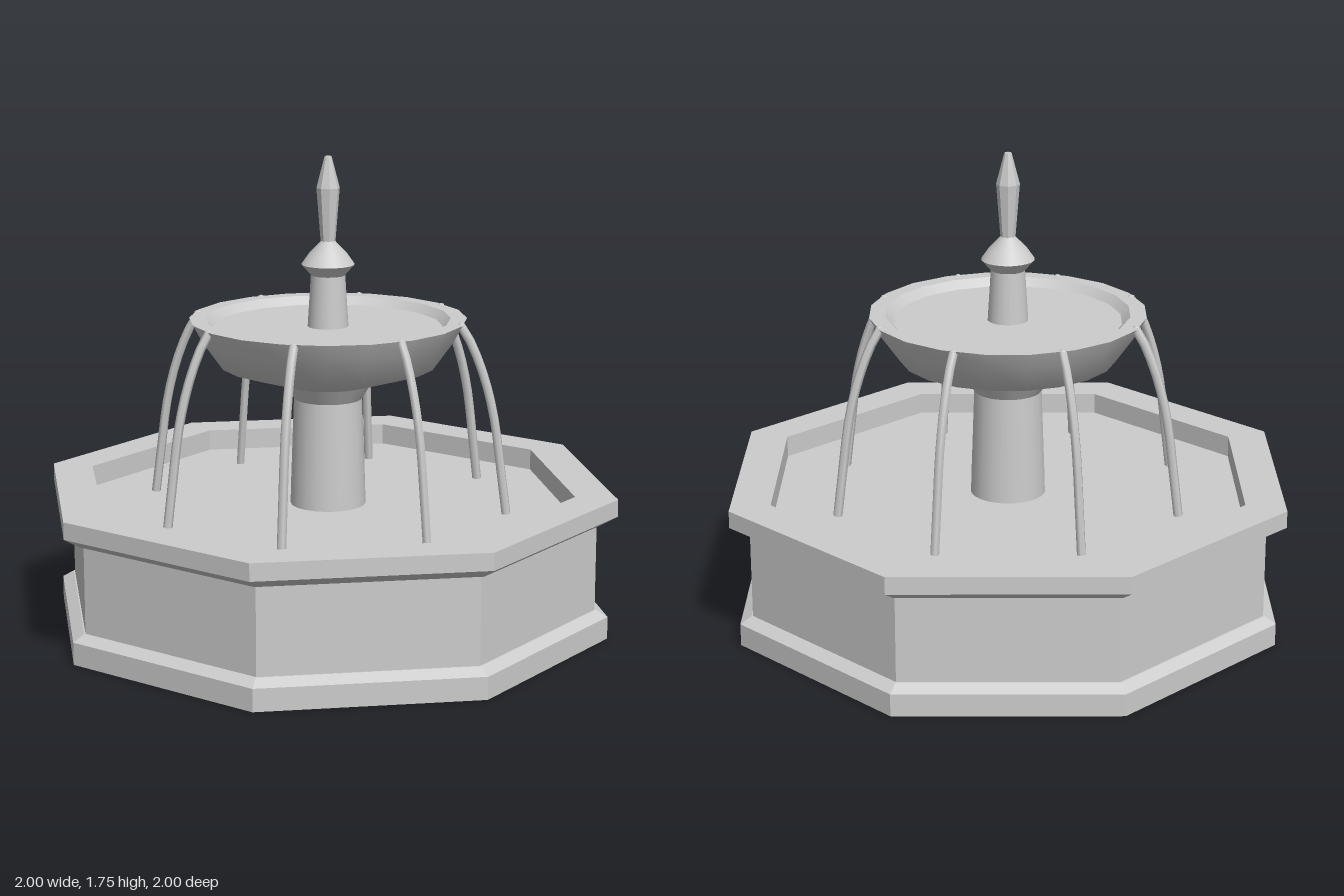
import * as THREE from 'three';

export function createModel() {
  const fountain = new THREE.Group();
  fountain.name = 'fountain';
  const stone = new THREE.MeshStandardMaterial({ color: 0xcccccc });
  stone.name = 'pale stone';

  const add = (parent, name, geometry) => {
    const mesh = new THREE.Mesh(geometry, stone);
    mesh.name = name;
    parent.add(mesh);
    return mesh;
  };
  const lathe = (profile, sides, start = 0) =>
    new THREE.LatheGeometry(profile.map(([r, y]) => new THREE.Vector2(r, y)), sides, start);
  const faceted = (geometry) => {
    const flat = geometry.toNonIndexed();
    flat.computeVertexNormals();
    return flat;
  };
  // Each run is smooth; the joins between runs stay sharp
  const turned = (name, runs, sides) => {
    const group = new THREE.Group();
    group.name = name;
    runs.forEach((run, i) => add(group, `${name}Section${i + 1}`, lathe(run, sides)));
    fountain.add(group);
  };

  // Octagonal basin: plinth, wall, coping and water floor (radii given to the flats)
  const basin = [
    [0, 0], [0.975, 0], [0.975, 0.083], [0.935, 0.108], [0.93, 0.108],
    [0.93, 0.43], [0.945, 0.43], [1, 0.466], [1, 0.53],
    [0.855, 0.53], [0.855, 0.45], [0, 0.45],
  ].map(([r, y]) => [r / Math.cos(Math.PI / 8), y]);
  add(fountain, 'basin', faceted(lathe(basin, 8, Math.PI / 8)));

  // Column carrying the bowl
  turned('column', [
    [[0.14, 0.45], [0.137, 0.55], [0.126, 0.85]],
    [[0.126, 0.85], [0.165, 0.91]],
  ], 20);

  // Upper bowl: rounded underside, flat lip, inner wall, water
  turned('bowl', [
    [[0, 0.9], [0.14, 0.9], [0.4, 0.98], [0.475, 1.085], [0.51, 1.15]],
    [[0.51, 1.15], [0.45, 1.15]],
    [[0.45, 1.15], [0.42, 1.12]],
    [[0.42, 1.12], [0, 1.12]],
  ], 20);

  // Pedestal with a flared cap
  turned('pedestal', [
    [[0.075, 1.12], [0.063, 1.31]],
    [[0.063, 1.31], [0.098, 1.35]],
    [[0.098, 1.35], [0.07, 1.39], [0.025, 1.437]],
    [[0.025, 1.437], [0, 1.437]],
  ], 20);

  // Faceted finial
  add(fountain, 'finial', faceted(lathe(
    [[0, 1.43], [0.027, 1.43], [0.043, 1.63], [0.013, 1.745], [0, 1.745]], 8)));

  // Eight water jets arching from the bowl into the basin
  const arc = new THREE.CatmullRomCurve3([
    [0.498, 1.14], [0.53, 1.09], [0.58, 0.97], [0.62, 0.82], [0.652, 0.6], [0.672, 0.45],
  ].map(([r, y]) => new THREE.Vector3(r, y, 0)));
  const jetGeometry = new THREE.TubeGeometry(arc, 12, 0.017, 6);
  const jets = new THREE.Group();
  jets.name = 'waterJets';
  for (let i = 0; i < 8; i++) {
    const jet = new THREE.Group();
    jet.name = `waterJet${i + 1}`;
    add(jet, 'stream', jetGeometry);
    const cap = add(jet, 'streamCap', new THREE.SphereGeometry(0.017, 6, 4));
    cap.position.set(0.498, 1.14, 0);
    jet.rotation.y = Math.PI / 8 + (i * Math.PI) / 4;
    jets.add(jet);
  }
  fountain.add(jets);

  return fountain;
}
